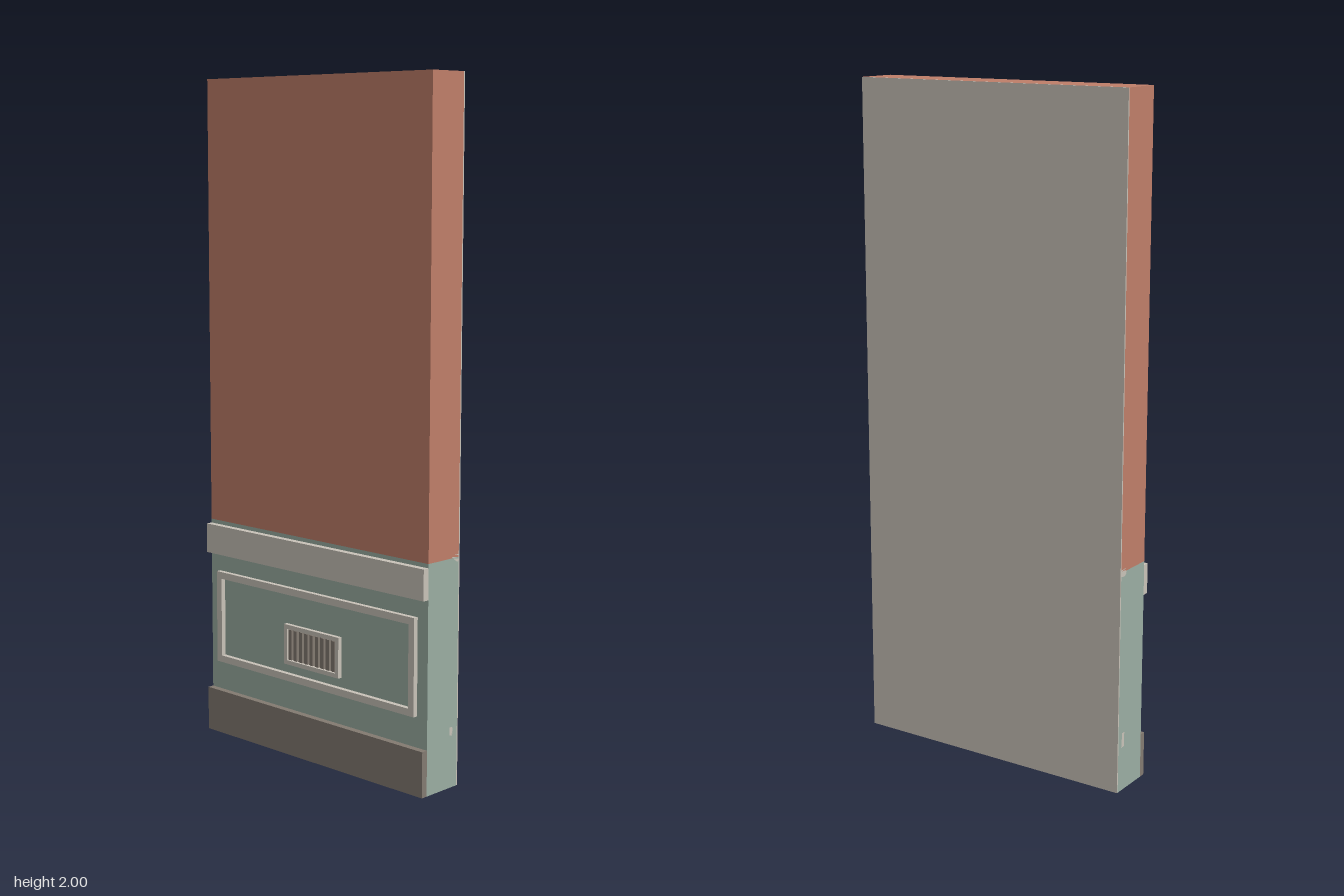
import * as THREE from 'three';

const HALF = 0.443, WIDTH = HALF * 2;
const BACK = -0.08, WALL = 0.048;

export function createModel() {
  const root = new THREE.Group();
  root.name = 'wallPanel';

  const paint = (name, color) => {
    const m = new THREE.MeshStandardMaterial({ color });
    m.name = name;
    return m;
  };
  const brick = paint('terracotta siding', 0xbf7e69);
  const mint = paint('sage green', 0x9aada2);
  const trim = paint('pale stone trim', 0xc8c2b8);
  const dark = paint('dark taupe', 0x837a71);

  const add = (name, geometry, material, parent = root) => {
    const mesh = new THREE.Mesh(geometry, material);
    mesh.name = name;
    parent.add(mesh);
    return mesh;
  };

  // Box given by its limits on each axis
  const box = (name, x0, x1, y0, y1, z0, z1, material, parent) => {
    const mesh = add(name, new THREE.BoxGeometry(x1 - x0, y1 - y0, z1 - z0), material, parent);
    mesh.position.set((x0 + x1) / 2, (y0 + y1) / 2, (z0 + z1) / 2);
    return mesh;
  };

  // Side profile of [z, y] points, swept across the full width
  const sweep = (name, profile, material, parent) => {
    const shape = new THREE.Shape(profile.map(([z, y]) => new THREE.Vector2(-z, y)));
    const geometry = new THREE.ExtrudeGeometry(shape, { depth: WIDTH, bevelEnabled: false });
    geometry.rotateY(-Math.PI / 2).scale(1, 1, 1).translate(HALF, 0, 0);
    return add(name, geometry, material, parent);
  };

  // Rectangular frame centred on x = 0
  const frame = (name, halfW, y0, y1, border, z0, z1, material) => {
    const shape = new THREE.Shape([
      [-halfW, y0], [halfW, y0], [halfW, y1], [-halfW, y1],
    ].map(p => new THREE.Vector2(...p)));
    const w = halfW - border;
    shape.holes.push(new THREE.Path([
      [-w, y0 + border], [-w, y1 - border], [w, y1 - border], [w, y0 + border],
    ].map(p => new THREE.Vector2(...p))));
    const geometry = new THREE.ExtrudeGeometry(shape, { depth: z1 - z0, bevelEnabled: false });
    geometry.translate(0, 0, z0);
    return add(name, geometry, material);
  };

  // Wall cores and back sheet
  const split = 0.667;
  box('lowerWall', -HALF, HALF, 0, split, BACK, WALL, mint);
  box('upperWall', -HALF, HALF, split, 2, BACK, WALL, brick);
  box('backSheet', -HALF, HALF, 0, 2, -0.084, BACK, trim);

  // Overlapping clapboards, thick at the lower edge
  const siding = new THREE.Group();
  siding.name = 'siding';
  root.add(siding);
  const boards = 15, step = (2 - split) / boards;
  for (let i = 0; i < boards; i++) {
    const y = split + i * step;
    sweep('clapboard', [
      [WALL - 0.005, y], [0.057, y], [WALL + 0.001, y + step], [WALL - 0.005, y + step],
    ], brick, siding);
  }

  // Frieze board and projecting sill
  box('frieze', -HALF, HALF, 0.565, 0.655, WALL, 0.068, trim);
  sweep('sill', [
    [WALL, 0.653], [0.074, 0.653], [0.083, 0.66], [0.083, 0.669], [0.078, 0.675], [WALL, 0.675],
  ], trim);

  // Plinth and the moulding above it
  box('plinth', -HALF, HALF, 0, 0.134, WALL, 0.068, dark);
  sweep('baseMoulding', [
    [WALL, 0.134], [0.064, 0.134], [0.06, 0.178], [WALL, 0.178],
  ], trim);

  // Raised panel frame
  frame('panelFrame', 0.405, 0.225, 0.51, 0.021, WALL, 0.063, trim);

  // Vent with upright fins
  frame('ventFrame', 0.112, 0.275, 0.397, 0.013, WALL, 0.061, trim);
  box('ventBacking', -0.1, 0.1, 0.287, 0.385, WALL, 0.05, dark);
  const fins = 9;
  for (let i = 0; i < fins; i++) {
    const x = (i - (fins - 1) / 2) * 0.0222;
    box('ventFin', x - 0.006, x + 0.006, 0.29, 0.382, 0.05, 0.059, dark);
  }

  return root;
}
